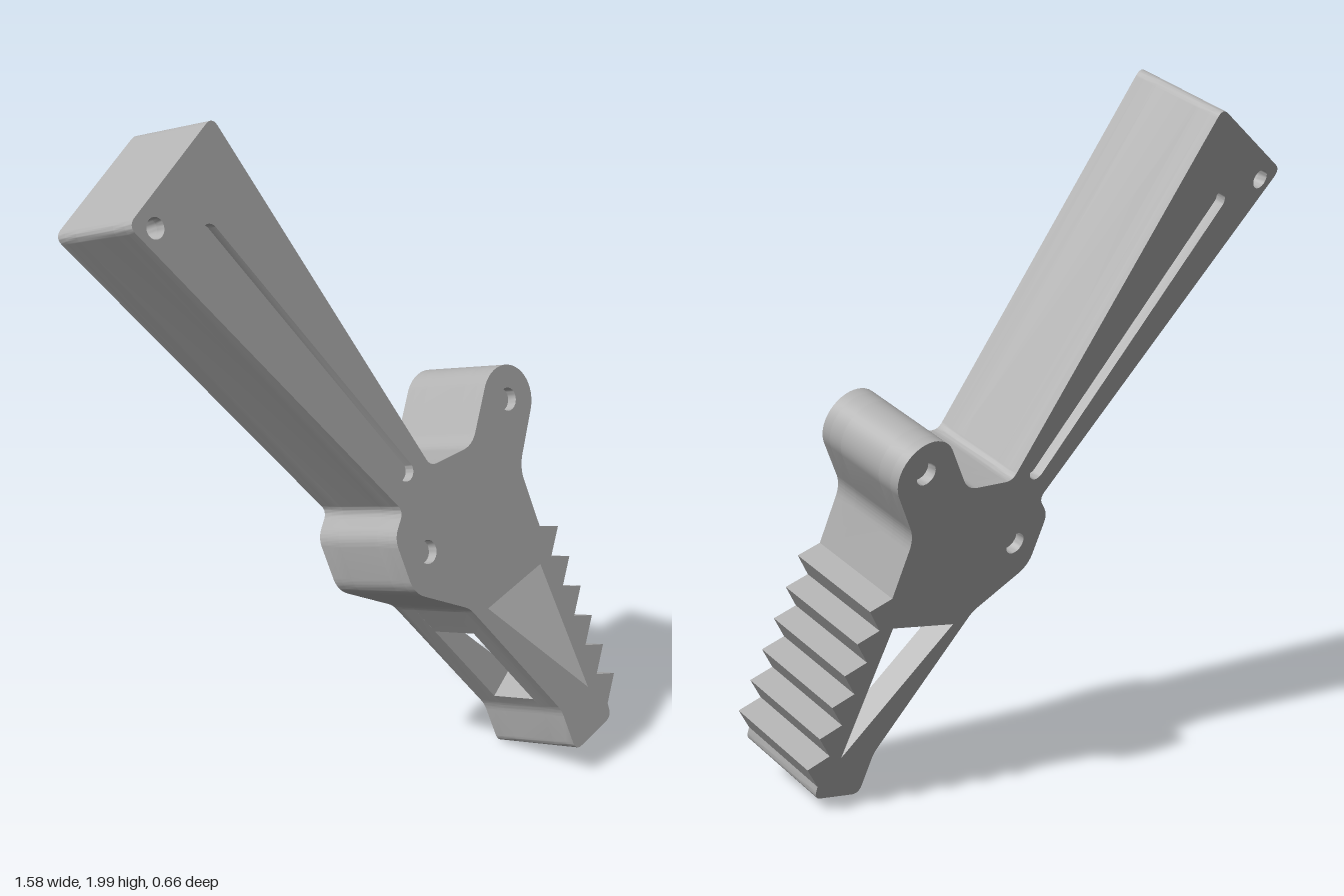
import * as THREE from 'three';
import { toCreasedNormals } from 'three/addons/utils/BufferGeometryUtils.js';

const THICKNESS = 0.31;
// Tilted plate frame: normal n, in-plane axes e1 and e2
const n = new THREE.Vector3(0.441, 0.295, 0.847).normalize();
const e1 = new THREE.Vector3(n.z, 0, -n.x).normalize();
const e2 = new THREE.Vector3().crossVectors(n, e1);
const origin = n.clone().multiplyScalar(0.524);

// Point on the front face given by its elevation x, y -> plate coordinates
function at([x, y]) {
  const v = (y - origin.y) / e2.y;
  return new THREE.Vector2((x - origin.x - e2.x * v) / e1.x, v);
}

// Closed path through [point, trim] corners, rounded where trim > 0
function roundedPath(corners, path) {
  const count = corners.length;
  corners.forEach(([p, r], i) => {
    const a = corners[(i + count - 1) % count][0];
    const b = corners[(i + 1) % count][0];
    const toward = (q) => p.clone().add(q.clone().sub(p).setLength(r));
    const start = r ? toward(a) : p;
    if (i === 0) path.moveTo(start.x, start.y);
    else path.lineTo(start.x, start.y);
    if (r) {
      const end = toward(b);
      path.quadraticCurveTo(p.x, p.y, end.x, end.y);
    }
  });
  path.closePath();
  return path;
}

const corner = ([x, y, r = 0]) => [at([x, y]), r];

const bossCentre = at([0.479, 1.095]);
const windowPoints = [[0.336, 0.577], [0.542, 0.63], [0.68, 0.243]];

function outline(openStrut) {
  const pts = [
    // handle and hub, left side
    [-0.397, 2.003, 0.03], [-0.664, 1.799, 0.03], [0.076, 0.915, 0.025],
    [0.04, 0.855, 0.03], [0.087, 0.698, 0.04], [0.272, 0.598, 0.02],
  ];
  // slot cut sideways through the strut into the window
  if (openStrut) {
    pts.push([0.347, 0.503], [0.381, 0.534], ...windowPoints, [0.611, 0.31], [0.541, 0.255]);
  }
  // foot
  pts.push([0.571, 0.217, 0.02], [0.611, 0.09, 0.03], [0.759, 0.132, 0.025], [0.751, 0.172]);
  // saw teeth, bottom to top
  for (let i = 5; i >= 0; i--) {
    pts.push([0.622 + 0.033 * i, 0.709 - 0.093 * i], [0.553 + 0.033 * i, 0.73 - 0.093 * i]);
  }
  pts.push([0.5, 0.905, 0.04]);
  const corners = pts.map(corner);
  // round boss
  for (let i = 0; i <= 20; i++) {
    const a = THREE.MathUtils.degToRad(-30 + (173 * i) / 20);
    corners.push([new THREE.Vector2(Math.cos(a), Math.sin(a)).multiplyScalar(0.098).add(bossCentre), 0]);
  }
  corners.push(corner([0.336, 1.011, 0.04]), corner([0.183, 1.0, 0.025]));
  return roundedPath(corners, new THREE.Shape());
}

function circleHole(c, r) {
  return new THREE.Path().absarc(c.x, c.y, r, 0, Math.PI * 2, true);
}

// Round-ended groove along the handle
function grooveHole() {
  const a = at([-0.437, 1.73]);
  const b = at([0.098, 1.011]);
  const r = 0.028;
  const dir = Math.atan2(b.y - a.y, b.x - a.x);
  const path = new THREE.Path();
  path.absarc(a.x, a.y, r, dir + Math.PI / 2, dir + Math.PI * 1.5, false);
  path.absarc(b.x, b.y, r, dir - Math.PI / 2, dir + Math.PI / 2, false);
  path.closePath();
  return path;
}

export function createModel() {
  const group = new THREE.Group();
  group.name = 'toothedLever';
  const grey = new THREE.MeshStandardMaterial({ color: 0xb2b2b2 });
  grey.name = 'plainGrey';

  const frame = new THREE.Matrix4().makeBasis(e1, e2, n).setPosition(origin);

  // Layers from front to back: skins carry the shallow recesses, core has the open strut
  const layers = [
    ['frontSkin', 0.03, 'skin'],
    ['frontWall', 0.047, 'wall'],
    ['openCore', 0.156, 'core'],
    ['backWall', 0.047, 'wall'],
    ['backSkin', 0.03, 'skin'],
  ];
  let z = 0;
  for (const [name, depth, kind] of layers) {
    const shape = outline(kind === 'core');
    shape.holes.push(circleHole(at([-0.59, 1.778]), 0.028));
    if (kind !== 'core') {
      shape.holes.push(roundedPath(windowPoints.map(corner), new THREE.Path()));
    }
    if (kind === 'skin') {
      shape.holes.push(grooveHole(), circleHole(at([0.146, 0.788]), 0.033), circleHole(bossCentre, 0.033));
    }
    z -= depth;
    let geo = new THREE.ExtrudeGeometry(shape, { depth, bevelEnabled: false, curveSegments: 14 });
    geo.translate(0, 0, z);
    geo.applyMatrix4(frame);
    geo = toCreasedNormals(geo, 0.5);
    const mesh = new THREE.Mesh(geo, grey);
    mesh.name = name;
    group.add(mesh);
  }
  return group;
}
